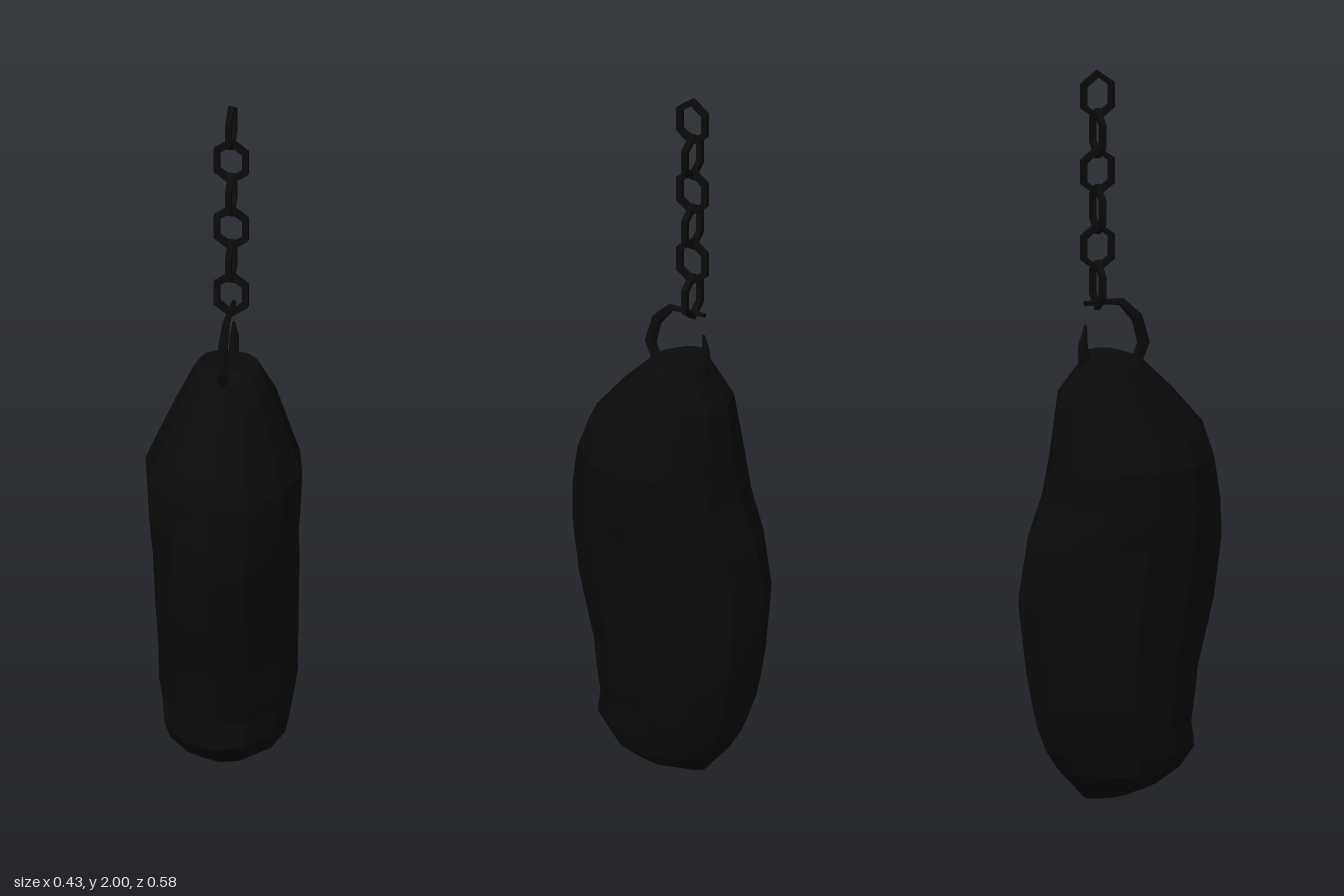
import * as THREE from 'three';

const black = new THREE.MeshStandardMaterial({ color: 0x0a0a0a, flatShading: true });

// Closed skin over a list of rings, all with the same number of points
function loft(rings) {
  const n = rings[0].length;
  const points = rings.flat();
  const index = [];
  for (let i = 0; i < rings.length - 1; i++) {
    for (let j = 0; j < n; j++) {
      const k = (j + 1) % n;
      const a = i * n + j, b = i * n + k, c = b + n, d = a + n;
      index.push(a, b, c, a, c, d);
    }
  }
  const last = (rings.length - 1) * n;
  for (let j = 1; j < n - 1; j++) {
    index.push(0, j + 1, j);
    index.push(last, last + j, last + j + 1);
  }
  const geometry = new THREE.BufferGeometry().setFromPoints(points);
  geometry.setIndex(index);
  geometry.computeVertexNormals();
  return geometry;
}

// Bag: each row is height, front z, back z, half width
function bagGeometry() {
  const rows = [
    [0, 0.02, -0.1, 0.025], [0.035, 0.1, -0.13, 0.1], [0.085, 0.165, -0.175, 0.158],
    [0.14, 0.21, -0.21, 0.17], [0.21, 0.2, -0.235, 0.18], [0.28, 0.21, -0.25, 0.19],
    [0.36, 0.22, -0.265, 0.19], [0.55, 0.27, -0.287, 0.195], [0.71, 0.29, -0.26, 0.197],
    [0.82, 0.282, -0.215, 0.208], [0.93, 0.262, -0.19, 0.213], [1.01, 0.235, -0.183, 0.18],
    [1.11, 0.15, -0.172, 0.135], [1.2, 0.06, -0.1, 0.092], [1.215, 0.02, -0.09, 0.08],
  ];
  return loft(rows.map(([y, front, back, w]) =>
    Array.from({ length: 12 }, (_, j) => {
      const t = (j / 12) * Math.PI * 2;
      return new THREE.Vector3(w * Math.sin(t), y,
        (front + back) / 2 + ((front - back) / 2) * Math.cos(t));
    })));
}

// Tapered bar in the x = 0 plane: each row is z, y, radius
function taperedBar(rows, sides = 6) {
  const at = (i) => new THREE.Vector3(0, rows[i][1], rows[i][0]);
  const across = new THREE.Vector3(1, 0, 0);
  return loft(rows.map((row, i) => {
    const tangent = at(Math.min(i + 1, rows.length - 1)).sub(at(Math.max(i - 1, 0))).normalize();
    const side = across.clone().cross(tangent);
    return Array.from({ length: sides }, (_, j) => {
      const t = (j / sides) * Math.PI * 2;
      return at(i)
        .addScaledVector(side, row[2] * Math.cos(t))
        .addScaledVector(across, Math.min(row[2], 0.014) * Math.sin(t));
    });
  }));
}

// Six-sided chain link
function linkGeometry() {
  const hexagon = (w, h, s) => [[0, h], [-w, s], [-w, -s], [0, -h], [w, -s], [w, s]]
    .map(([x, y]) => new THREE.Vector2(x, y));
  const shape = new THREE.Shape(hexagon(0.047, 0.069, 0.034));
  shape.holes.push(new THREE.Path(hexagon(0.031, 0.05, 0.026)));
  const geometry = new THREE.ExtrudeGeometry(shape, { depth: 0.016, bevelEnabled: false });
  return geometry.translate(0, 0, -0.008);
}

export function createModel() {
  const model = new THREE.Group();
  model.name = 'hangingBag';
  const add = (name, geometry, parent = model) => {
    const mesh = new THREE.Mesh(geometry, black);
    mesh.name = name;
    parent.add(mesh);
    return mesh;
  };

  add('bag', bagGeometry());

  // Open hook: a long curved arm and a short pointed prong
  const hook = new THREE.Group();
  hook.name = 'hook';
  model.add(hook);
  add('hookArm', taperedBar([
    [0.04, 1.17, 0.016], [0.068, 1.24, 0.018], [0.049, 1.31, 0.016],
    [0.005, 1.357, 0.011], [-0.03, 1.36, 0.008], [-0.1, 1.36, 0.007],
  ]), hook);
  add('hookProng', taperedBar([
    [-0.085, 1.17, 0.017], [-0.102, 1.21, 0.017], [-0.103, 1.25, 0.013], [-0.096, 1.3, 0.004],
  ]), hook);

  // Chain: neighbouring links are turned a quarter
  const chain = new THREE.Group();
  chain.name = 'chain';
  model.add(chain);
  const link = linkGeometry();
  for (let i = 0; i < 6; i++) {
    const mesh = add('chainLink', link, chain);
    mesh.position.set(0, 1.409 + i * 0.1044, -0.062);
    mesh.rotation.y = (i % 2) * Math.PI / 2;
  }
  return model;
}
